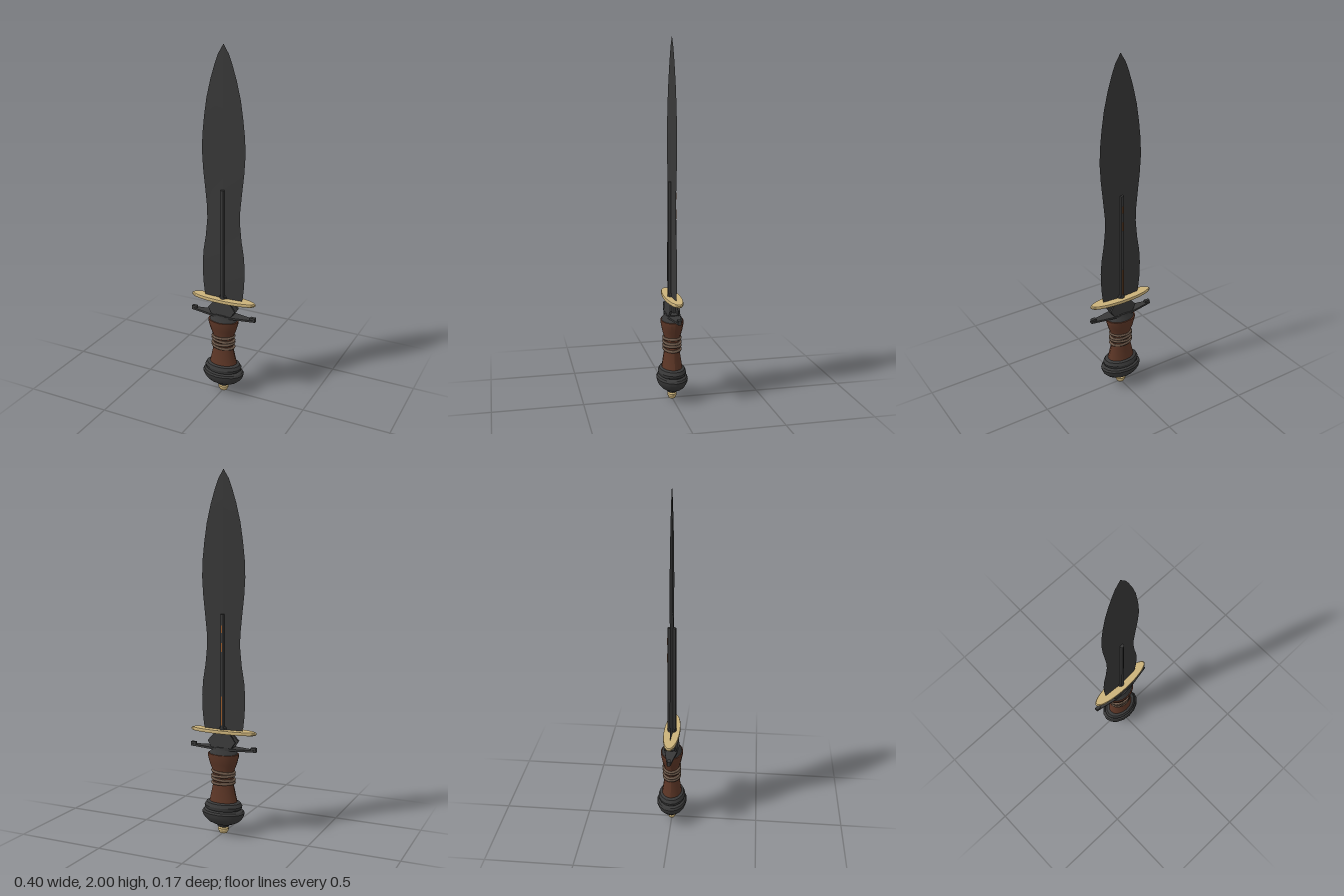
import * as THREE from 'three';
import { toCreasedNormals } from 'three/addons/utils/BufferGeometryUtils.js';

const mat = (name, color) => {
  const m = new THREE.MeshStandardMaterial({ color });
  m.name = name;
  return m;
};

export function createModel() {
  const group = new THREE.Group();
  const steel = mat('dark steel', 0x383838);
  const wood = mat('brown wood', 0x5c3626);
  const brass = mat('pale brass', 0xcbb27a);
  const wire = mat('wire', 0x6e5a4b);
  const inlayMat = mat('bronze inlay', 0x9a5a2a);
  steel.side = THREE.DoubleSide;

  const add = (name, geometry, material, x = 0, y = 0, z = 0) => {
    const mesh = new THREE.Mesh(geometry, material);
    mesh.name = name;
    mesh.position.set(x, y, z);
    group.add(mesh);
    return mesh;
  };
  // Turned part flattened in z; profile is [radius, y] from bottom to top
  const turned = (name, profile, material, zScale, segments = 16) => {
    const g = new THREE.LatheGeometry(profile.map(([r, y]) => new THREE.Vector2(r, y)), segments);
    g.scale(1, 1, zScale);
    return add(name, toCreasedNormals(g, 0.5), material);
  };

  // Leaf-shaped blade: diamond cross-sections [y, half width, half thickness]
  const sections = [
    [0.565, 0.105, 0.007], [0.61, 0.119, 0.007], [0.68, 0.127, 0.007], [0.78, 0.13, 0.007],
    [0.86, 0.124, 0.007], [0.95, 0.109, 0.007], [1.05, 0.099, 0.007], [1.12, 0.1, 0.007],
    [1.22, 0.11, 0.007], [1.33, 0.122, 0.006], [1.43, 0.128, 0.006], [1.52, 0.125, 0.006],
    [1.62, 0.114, 0.005], [1.72, 0.099, 0.005], [1.82, 0.075, 0.004], [1.9, 0.05, 0.003],
    [1.95, 0.031, 0.002], [2, 0, 0],
  ];
  const positions = [];
  const index = [];
  sections.forEach(([y, w, t], i) => {
    positions.push(w, y, 0, 0, y, t, -w, y, 0, 0, y, -t);
    if (i === 0) return;
    for (let k = 0; k < 4; k++) {
      const a = (i - 1) * 4 + k, b = (i - 1) * 4 + (k + 1) % 4;
      index.push(a, a + 4, b, b, a + 4, b + 4);
    }
  });
  index.push(0, 1, 2, 0, 2, 3);
  // Corners run clockwise from above, so each triangle is reversed to face outward
  for (let i = 0; i < index.length - 6; i += 3) [index[i + 1], index[i + 2]] = [index[i + 2], index[i + 1]];
  const bladeGeometry = new THREE.BufferGeometry();
  bladeGeometry.setAttribute('position', new THREE.Float32BufferAttribute(positions, 3));
  bladeGeometry.setIndex(index);
  // Swap back to the winding whose normals point away from the middle
  const order = bladeGeometry.index.array;
  const p = (n) => new THREE.Vector3().fromArray(positions, order[n] * 3);
  if (p(1).sub(p(0)).cross(p(2).sub(p(0))).z < 0) {
    for (let i = 0; i < order.length - 6; i += 3) [order[i + 1], order[i + 2]] = [order[i + 2], order[i + 1]];
  }
  add('blade', toCreasedNormals(bladeGeometry, 0.08), steel);

  // Ribs on both faces of the blade, and the fork plates below the guard
  const fork = new THREE.Shape();
  [[-0.06, 0], [-0.083, 0.035], [-0.045, 0.08], [0.045, 0.08], [0.083, 0.035], [0.06, 0]]
    .forEach(([x, y], i) => (i ? fork.lineTo(x, y) : fork.moveTo(x, y)));
  const forkGeometry = new THREE.ExtrudeGeometry(fork, { depth: 0.012, bevelEnabled: false });
  forkGeometry.translate(0, 0, -0.006);
  for (const side of [1, -1]) {
    const rib = new THREE.CylinderGeometry(0.011, 0.012, 0.74, 8);
    add('bladeRib', toCreasedNormals(rib, 0.9), steel, 0, 0.86, side * 0.013);
    const plate = add('forkPlate', forkGeometry, steel, 0, 0.494, side * 0.028);
    plate.rotation.x = -side * 0.16;
  }
  for (const [y, h] of [[0.7, 0.16], [1.05, 0.05], [1.15, 0.04]]) {
    add('ribInlay', new THREE.BoxGeometry(0.004, h, 0.003), inlayMat, 0, y, -0.0245);
  }
  // Socket around the rib roots
  turned('ribSocket', [[0, 0.575], [0.022, 0.575], [0.022, 0.603], [0.014, 0.612], [0, 0.612]], steel, 1.1, 10);

  // Oval brass guard plate with a rounded rim
  turned('guardPlate', [
    [0, 0.574], [0.19, 0.574], [0.197, 0.579], [0.197, 0.587], [0.19, 0.592], [0, 0.592],
  ], brass, 0.235, 40);

  // Tapered lower crossbar with upturned ends
  const bar = new THREE.Shape();
  [[-0.198, -0.009], [-0.07, -0.034], [0, -0.044], [0.07, -0.034], [0.198, -0.009],
    [0.198, 0.009], [0.07, 0.034], [0, 0.044], [-0.07, 0.034], [-0.198, 0.009]]
    .forEach(([x, y], i) => (i ? bar.lineTo(x, y) : bar.moveTo(x, y)));
  const barGeometry = new THREE.ExtrudeGeometry(bar, { depth: 0.011, bevelEnabled: false });
  barGeometry.rotateX(-Math.PI / 2);
  add('crossbar', barGeometry, steel, 0, 0.482, 0);
  for (const side of [1, -1]) {
    add('crossbarTip', new THREE.BoxGeometry(0.03, 0.02, 0.018), steel, side * 0.182, 0.496, 0);
  }

  // Ferrule, waisted grip and wire binding
  turned('ferrule', [[0, 0.45], [0.085, 0.45], [0.08, 0.465], [0.065, 0.482], [0.062, 0.497], [0, 0.497]], steel, 0.7);
  turned('grip', [
    [0, 0.17], [0.084, 0.175], [0.074, 0.22], [0.063, 0.27], [0.059, 0.31], [0.063, 0.36],
    [0.079, 0.4], [0.09, 0.44], [0.091, 0.457], [0, 0.46],
  ], wood, 0.7);
  for (let i = 0; i < 4; i++) {
    const ring = new THREE.TorusGeometry(0.064, 0.008, 6, 24);
    ring.rotateX(Math.PI / 2);
    ring.scale(1, 1, 0.75);
    add('wireRing', ring, wire, 0, 0.292 + i * 0.021, 0).rotation.z = i % 2 ? 0.06 : -0.04;
  }

  // Bulbous pommel ending in a brass button
  turned('pommel', [
    [0, 0.048], [0.025, 0.05], [0.06, 0.056], [0.09, 0.07], [0.11, 0.088], [0.122, 0.108],
    [0.125, 0.124], [0.117, 0.135], [0.1, 0.141], [0.108, 0.148], [0.111, 0.162], [0.1, 0.18],
    [0.085, 0.186], [0, 0.186],
  ], steel, 0.7);
  turned('pommelNeck', [[0, 0.03], [0.02, 0.034], [0.034, 0.04], [0.034, 0.048], [0.02, 0.055], [0, 0.056]], steel, 0.85, 12);
  turned('pommelButton', [
    [0, 0], [0.022, 0.001], [0.026, 0.011], [0.031, 0.018], [0.031, 0.028], [0.024, 0.036], [0, 0.037],
  ], brass, 0.85, 12);

  return group;
}
